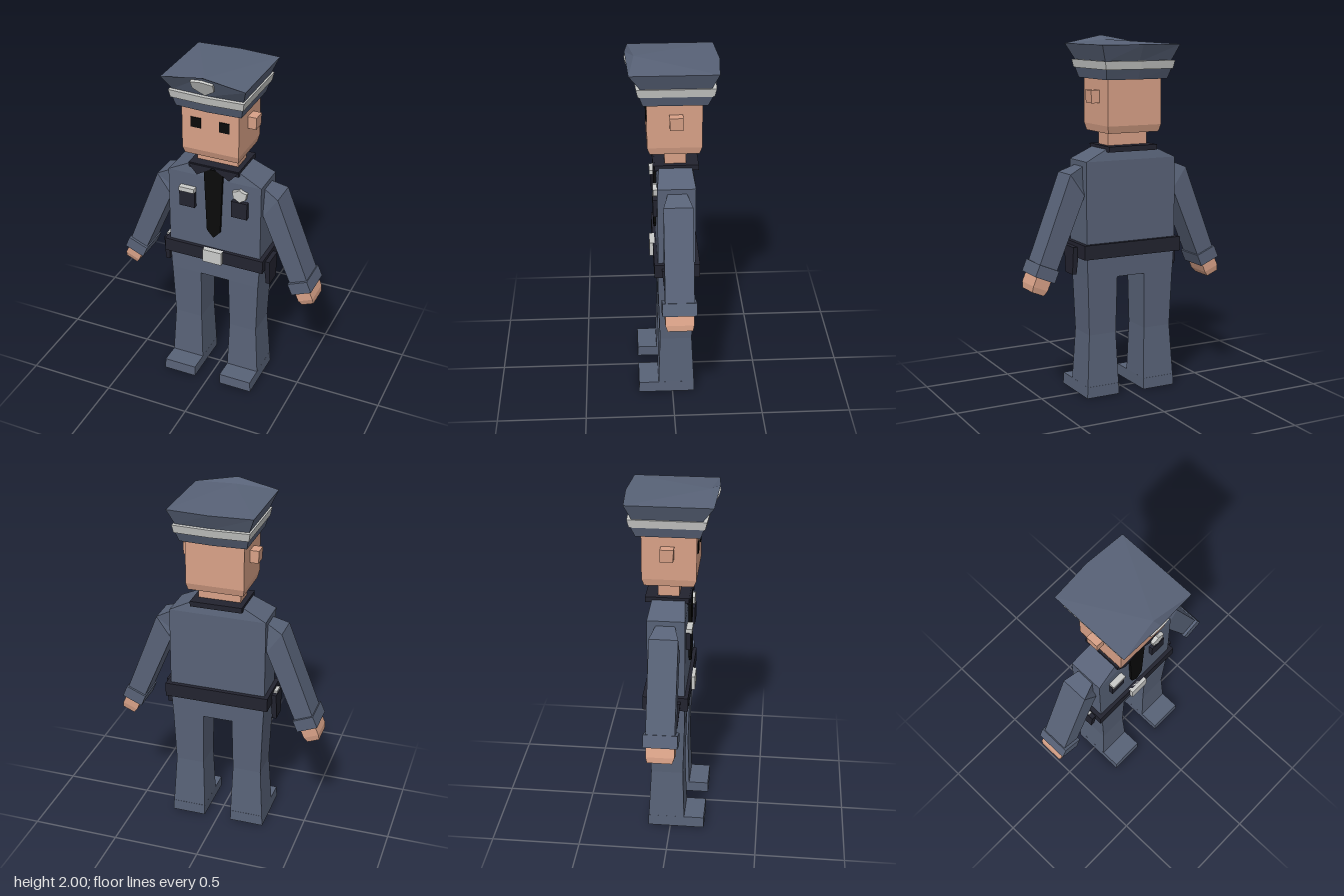
import * as THREE from 'three';

const mat = (name, color) => {
  const m = new THREE.MeshStandardMaterial({ color });
  m.name = name;
  return m;
};

// Flat-faced loft through rings ordered bottom to top, each counter-clockwise seen from above.
function loft(rings, { mirror = false, apex = null } = {}) {
  if (mirror) rings = rings.map(r => r.map(([x, y, z]) => [-x, y, z]).reverse());
  const pos = [];
  const tri = (a, b, c) => pos.push(...a, ...b, ...c);
  const n = rings[0].length;
  const mid = r => [0, 1, 2].map(k => r.reduce((s, p) => s + p[k], 0) / n);
  const first = rings[0], last = rings[rings.length - 1];
  const low = mid(first), high = apex || mid(last);
  for (let i = 0; i < n; i++) {
    const j = (i + 1) % n;
    for (let k = 0; k + 1 < rings.length; k++) {
      const a = rings[k], b = rings[k + 1];
      tri(a[i], a[j], b[j]);
      tri(a[i], b[j], b[i]);
    }
    tri(low, first[j], first[i]);
    tri(high, last[i], last[j]);
  }
  const g = new THREE.BufferGeometry();
  g.setAttribute('position', new THREE.Float32BufferAttribute(pos, 3));
  g.computeVertexNormals();
  return g;
}

// Level rectangular ring
const rect = (y, x0, x1, z0, z1) => [[x1, y, z1], [x1, y, z0], [x0, y, z0], [x0, y, z1]];
// Ring across a slanted limb, from an outer to an inner point
const limb = (xo, yo, xi, yi, z0, z1) => [[xo, yo, z1], [xo, yo, z0], [xi, yi, z0], [xi, yi, z1]];
// Six-sided cap ring with bowed front and back
const capRing = (y, x, zb, zf, bow, peak = y) => [
  [0, peak, zf + bow], [x, y, zf], [x, y, zb], [0, y, zb - bow], [-x, y, zb], [-x, y, zf]];

// Extruded flat plate from outline points
function plate(points, depth) {
  const shape = new THREE.Shape(points.map(([x, y]) => new THREE.Vector2(x, y)));
  return new THREE.ExtrudeGeometry(shape, { depth, bevelEnabled: false });
}

export function createModel() {
  const model = new THREE.Group();
  model.name = 'officer';
  const cloth = mat('uniform blue', 0x586277);
  const navy = mat('dark navy', 0x22232f);
  const black = mat('black', 0x0a0a0a);
  const skin = mat('skin', 0xd8a187);
  const silver = mat('silver', 0xc9cac8);
  const grey = mat('sole grey', 0x7a7a7a);

  const add = (name, geometry, material, x = 0, y = 0, z = 0) => {
    const m = new THREE.Mesh(geometry, material);
    m.name = name;
    m.position.set(x, y, z);
    model.add(m);
    return m;
  };
  const box = (name, material, x0, x1, y0, y1, z0, z1) =>
    add(name, new THREE.BoxGeometry(x1 - x0, y1 - y0, z1 - z0), material,
      (x0 + x1) / 2, (y0 + y1) / 2, (z0 + z1) / 2);

  // Head and neck
  add('head', loft([
    rect(1.48, -0.155, 0.155, -0.15, 0.115),
    rect(1.52, -0.163, 0.163, -0.163, 0.13),
    rect(1.79, -0.163, 0.163, -0.163, 0.13)]), skin);
  box('neck', skin, -0.12, 0.12, 1.36, 1.49, -0.08, 0.035);

  // Cap
  add('capBase', loft([
    capRing(1.77, 0.185, -0.19, 0.15, 0.01),
    capRing(1.83, 0.2, -0.215, 0.17, 0.01)]), cloth);
  add('capBand', loft([
    capRing(1.825, 0.204, -0.22, 0.175, 0.01),
    capRing(1.87, 0.212, -0.23, 0.185, 0.01)]), silver);
  add('capCrown', loft([
    capRing(1.865, 0.2, -0.205, 0.16, 0.01),
    capRing(1.956, 0.236, -0.243, 0.222, 0.017, 2.0)], { apex: [0, 1.976, 0.19] }), cloth);
  const capBadge = add('capBadge', plate([
    [-0.063, 0.045], [0, 0.055], [0.063, 0.045], [0.06, -0.005], [0, -0.052], [-0.06, -0.005]], 0.018),
    silver, 0, 1.934, 0.2);
  capBadge.rotation.x = 0.48;

  // Torso and hips
  add('torso', loft([
    rect(0.68, -0.267, 0.267, -0.12, 0.08),
    rect(0.84, -0.275, 0.275, -0.125, 0.08),
    rect(1.33, -0.275, 0.275, -0.125, 0.08),
    rect(1.395, -0.14, 0.14, -0.11, 0.068)]), cloth);

  // Collar, tie and chest details
  box('collar', navy, -0.147, 0.147, 1.378, 1.408, -0.147, 0.09);
  add('tie', plate([
    [-0.06, 1.39], [-0.055, 1.36], [-0.04, 1.0], [0, 0.955], [0.04, 1.0], [0.055, 1.36], [0.06, 1.39]], 0.02),
    black, 0, 0, 0.075);
  add('nameTag', new THREE.BoxGeometry(0.09, 0.026, 0.035), silver, -0.155, 1.238, 0.095);
  add('chestBadge', plate([
    [-0.042, 0.022], [-0.02, 0.026], [0, 0.038], [0.02, 0.026], [0.042, 0.022],
    [0.036, -0.016], [0, -0.038], [-0.036, -0.016]], 0.025), silver, 0.157, 1.267, 0.077);

  // Belt
  box('belt', navy, -0.299, 0.299, 0.797, 0.877, -0.15, 0.1);
  box('buckle', silver, -0.057, 0.057, 0.797, 0.877, 0.09, 0.119);
  box('handcuffs', silver, -0.322, -0.302, 0.85, 0.868, -0.03, 0.03);

  for (const s of [1, -1]) {
    const side = s > 0 ? 'left' : 'right';
    const mirror = s < 0;

    // Face and front pieces
    add(side + 'Ear', loft([
      rect(1.64, 0.15, 0.21, -0.06, 0.01),
      rect(1.71, 0.15, 0.213, -0.06, 0.012)], { mirror }), skin);
    add(side + 'Eye', new THREE.BoxGeometry(0.058, 0.058, 0.008), black, s * 0.082, 1.682, 0.131);
    const flap = [[0, 1.405], [s * 0.147, 1.405], [s * 0.095, 1.345], [s * 0.03, 1.385]];
    add(side + 'CollarFlap', plate(mirror ? flap : flap.reverse(), 0.022), navy, 0, 0, 0.077);
    add(side + 'Pocket', new THREE.BoxGeometry(0.092, 0.1, 0.03), navy, s * 0.156, 1.178, 0.088);
    add(side + 'Holster', loft([
      rect(0.7, 0.3, 0.325, -0.045, 0.045),
      rect(0.855, 0.29, 0.325, -0.06, 0.06)], { mirror }), navy);

    // Sleeve with a narrowed shoulder, cuff and hand
    add(side + 'Sleeve', loft([
      limb(0.552, 0.77, 0.452, 0.73, -0.105, 0.052),
      limb(0.36, 1.265, 0.277, 1.145, -0.105, 0.052),
      limb(0.26, 1.308, 0.25, 1.16, -0.072, 0.022)], { mirror }), cloth);
    const cuff = add(side + 'Cuff', new THREE.BoxGeometry(0.122, 0.07, 0.186), cloth,
      s * 0.508, 0.737, -0.025);
    cuff.rotation.z = s * 0.4;
    const hand = add(side + 'Hand', loft([
      rect(-0.12, -0.036, 0.036, -0.07, 0.065),
      rect(-0.088, -0.045, 0.045, -0.077, 0.077),
      rect(0, -0.045, 0.045, -0.077, 0.077)], { mirror }), skin, s * 0.508, 0.737, -0.024);
    hand.rotation.z = s * 0.4;

    // Leg, shoe and sole
    add(side + 'Leg', loft([
      rect(0.06, 0.08, 0.273, -0.125, 0.08),
      rect(0.36, 0.09, 0.255, -0.11, 0.07),
      rect(0.7, 0.085, 0.267, -0.12, 0.08)], { mirror }), cloth);
    add(side + 'Shoe', loft([
      rect(0.002, 0.08, 0.277, -0.127, 0.195),
      rect(0.066, 0.08, 0.273, -0.126, 0.193)], { mirror }), cloth);
    const sole = add(side + 'Sole', new THREE.PlaneGeometry(0.197, 0.322), grey, s * 0.1785, 0, 0.034);
    sole.rotation.x = Math.PI / 2;
  }
  return model;
}
